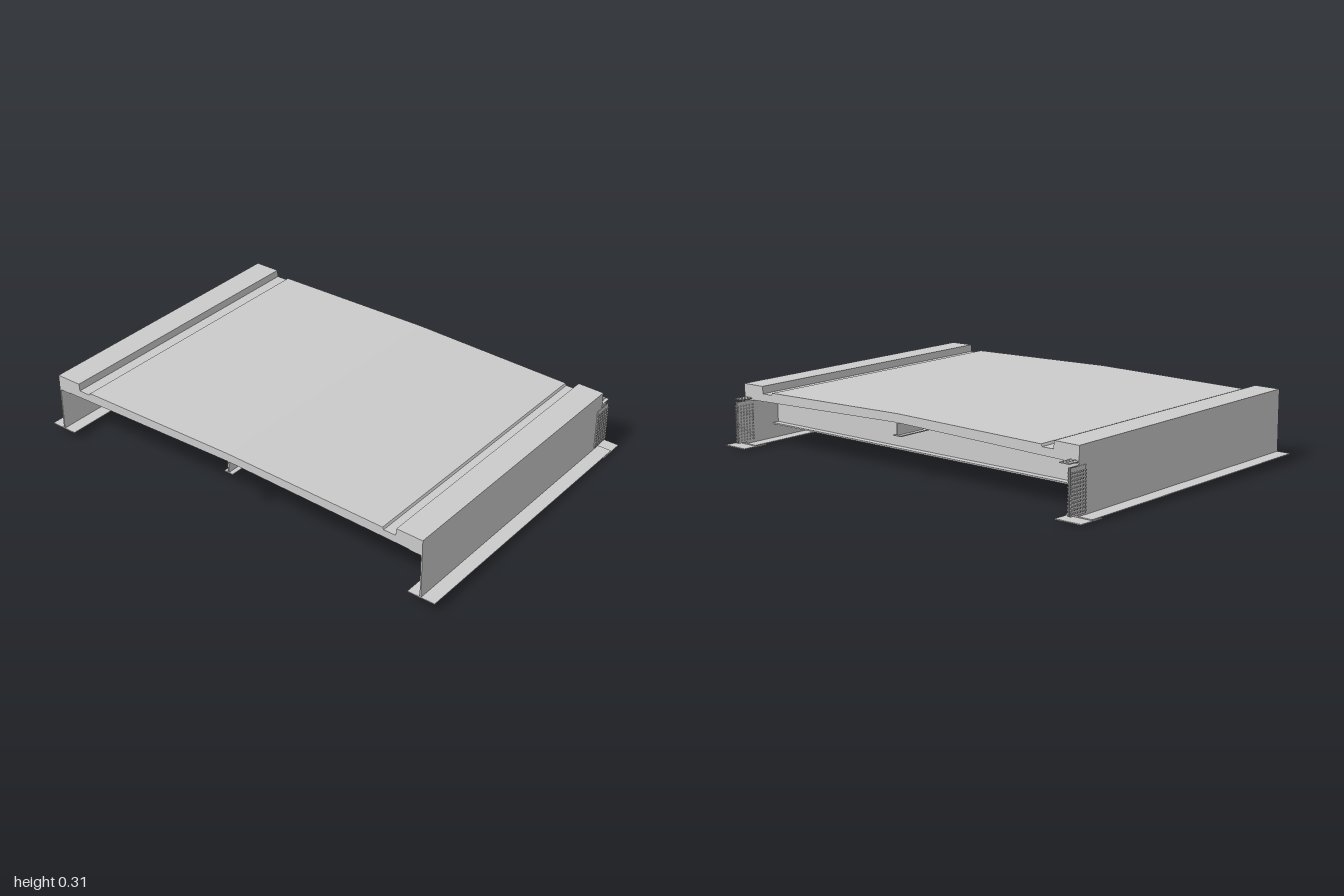
import * as THREE from 'three';
import { mergeGeometries } from 'three/addons/utils/BufferGeometryUtils.js';

const FRONT = 0.69, BACK = -0.625, SLOPE = 0.0195;
const LENGTH = FRONT - BACK, MID = (FRONT + BACK) / 2;

// Longitudinal fall: heights are given at the front end and drop towards the back
const fall = new THREE.Matrix4().set(
  1, 0, 0, 0,
  0, 1, SLOPE, -SLOPE * FRONT,
  0, 0, 1, 0,
  0, 0, 0, 1);

const material = new THREE.MeshStandardMaterial({ color: 0xcccccc, side: THREE.DoubleSide });

function part(parent, name, geometry, sloped = true) {
  if (sloped) geometry.applyMatrix4(fall);
  const mesh = new THREE.Mesh(geometry, material);
  mesh.name = name;
  parent.add(mesh);
  return mesh;
}

// Box from its limits on each axis
function box(x0, x1, y0, y1, z0, z1) {
  return new THREE.BoxGeometry(x1 - x0, y1 - y0, z1 - z0)
    .translate((x0 + x1) / 2, (y0 + y1) / 2, (z0 + z1) / 2);
}

// Bolt heads along the given axis, merged into one geometry
function bolts(points, axis) {
  const head = new THREE.CylinderGeometry(0.004, 0.004, 0.004, 6);
  if (axis === 'x') head.rotateZ(Math.PI / 2);
  return mergeGeometries(points.map(p => head.clone().translate(...p)));
}

function createDeck() {
  // Half profile from the crown outwards, mirrored for the other half
  const top = [[0, 0.296], [0.755, 0.283], [0.76, 0.273], [0.815, 0.273], [0.818, 0.305], [0.937, 0.304]];
  const under = [[0.937, 0.236], [0, 0.259]];
  const half = [...top, ...under];
  const outline = [...half, ...half.slice(1, -1).reverse().map(([x, y]) => [-x, y])];
  const shape = new THREE.Shape(outline.map(([x, y]) => new THREE.Vector2(x, y)));
  return new THREE.ExtrudeGeometry(shape, { depth: LENGTH, bevelEnabled: false }).translate(0, 0, BACK);
}

function createGirder(side) {
  const girder = new THREE.Group();
  girder.name = side > 0 ? 'leftGirder' : 'rightGirder';
  const sideBox = (a, b, ...rest) => box(Math.min(a * side, b * side), Math.max(a * side, b * side), ...rest);

  part(girder, 'girderWeb', sideBox(0.931, 0.937, 0.036, 0.238, BACK, FRONT));
  part(girder, 'girderBottomFlange', sideBox(0.875, 1, 0.034, 0.038, BACK, FRONT));
  part(girder, 'girderTopFlange', sideBox(0.88, 0.937, 0.234, 0.238, BACK, FRONT));

  // Splice plates reaching past the back end
  part(girder, 'webSpliceOuter', sideBox(0.937, 0.94, 0.02, 0.203, -0.677, -0.588), false);
  part(girder, 'webSpliceInner', sideBox(0.928, 0.931, 0.02, 0.203, -0.677, -0.588), false);
  part(girder, 'bottomSplice', sideBox(0.875, 1, 0.003, 0.007, -0.688, -0.565), false);
  part(girder, 'topSplice', sideBox(0.89, 0.937, 0.216, 0.22, -0.682, -0.6), false);

  // Bolt groups on the splices
  const webBolts = [], flangeBolts = [];
  for (let c = 0; c < 6; c++) {
    const z = -0.592 - c * 0.016;
    for (let r = 0; r < 12; r++)
      for (const x of [0.942, 0.926]) webBolts.push([x * side, 0.032 + r * 0.0137, z]);
    for (const x of [0.885, 0.9, 0.915, 0.96, 0.975, 0.99]) flangeBolts.push([x * side, 0.002, z]);
    if (c > 1) for (const x of [0.9, 0.92]) flangeBolts.push([x * side, 0.221, z]);
  }
  part(girder, 'webBolts', bolts(webBolts, 'x'), false);
  part(girder, 'flangeBolts', bolts(flangeBolts, 'y'), false);
  return girder;
}

function createCrossBeam(z) {
  const beam = new THREE.Group();
  beam.name = 'crossBeam';
  part(beam, 'beamBottomFlange', box(-0.931, 0.931, 0.1, 0.106, z - 0.035, z + 0.035));
  // Web follows the crown of the deck underside
  const web = new THREE.Shape();
  web.moveTo(-0.931, 0.104).lineTo(0.931, 0.104).lineTo(0.931, 0.237).lineTo(0, 0.26).lineTo(-0.931, 0.237);
  part(beam, 'beamWeb', new THREE.ExtrudeGeometry(web, { depth: 0.01, bevelEnabled: false }).translate(0, 0, z - 0.005));
  return beam;
}

export function createModel() {
  const model = new THREE.Group();
  model.name = 'bridgeSpan';
  part(model, 'deckWithKerbs', createDeck());
  for (const side of [1, -1]) model.add(createGirder(side));
  for (const z of [-0.44, 0, 0.44]) model.add(createCrossBeam(z));

  // Central stringer under the crown
  const stringer = new THREE.Group();
  stringer.name = 'stringer';
  part(stringer, 'stringerWeb', box(-0.003, 0.003, 0.205, 0.26, BACK, FRONT));
  part(stringer, 'stringerFlange', box(-0.022, 0.022, 0.203, 0.207, BACK, FRONT));
  model.add(stringer);
  return model;
}
